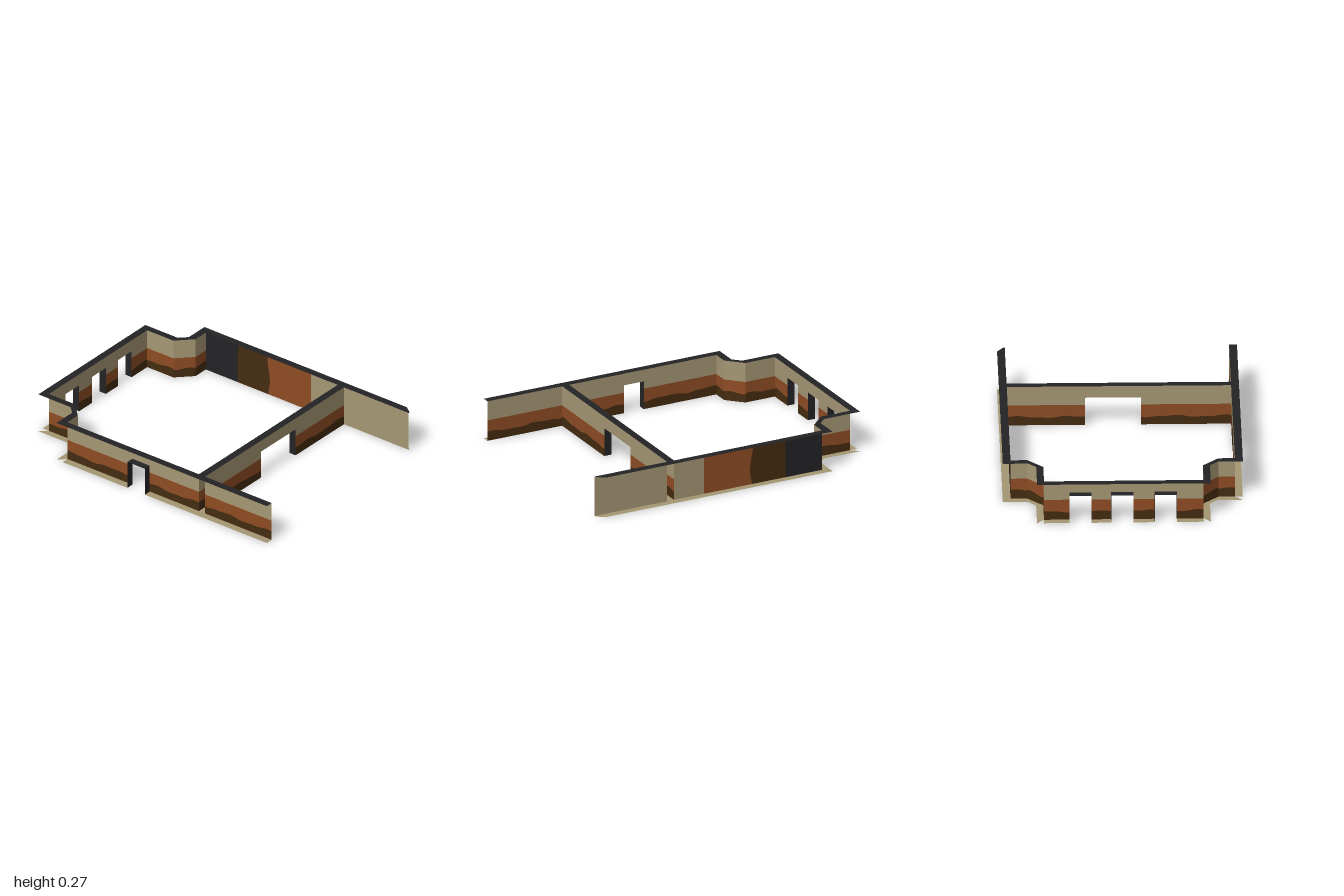
import * as THREE from 'three';

const H = 0.27, DOOR_H = 0.19, T = 0.05;

export function createModel() {
  const group = new THREE.Group();
  const mat = (name, color) => {
    const m = new THREE.MeshStandardMaterial({ color, side: THREE.DoubleSide });
    m.name = name;
    return m;
  };
  const plaster = mat('beigePlaster', 0xa69874);
  const rust = mat('rustBand', 0x8f4c24);
  const brown = mat('brownBand', 0x452c10);
  const dark = mat('darkTrim', 0x242426);

  const add = (name, geometry, material) => {
    const mesh = new THREE.Mesh(geometry, material);
    mesh.name = name;
    group.add(mesh);
  };
  const shape = pts => new THREE.ShapeGeometry(new THREE.Shape(pts.map(p => new THREE.Vector2(p[0], p[1]))));

  // Flat horizontal strip from [x, z] points
  const slab = (name, pts, y, material) => add(name, shape(pts).rotateX(Math.PI / 2).translate(0, y, 0), material);

  // Upright face: outline in (distance along a->b, height)
  const upright = (name, a, b, pts, material) => {
    const d = new THREE.Vector3(b[0] - a[0], 0, b[1] - a[1]).normalize();
    const up = new THREE.Vector3(0, 1, 0);
    const m = new THREE.Matrix4().makeBasis(d, up, d.clone().cross(up)).setPosition(a[0], 0, a[1]);
    add(name, shape(pts).applyMatrix4(m), material);
  };
  const rect = (u0, u1, v0, v1) => [[u0, v0], [u1, v0], [u1, v1], [u0, v1]];
  const wave = u => 0.057 + 0.006 * Math.sin(u * 19 + 1) + 0.003 * Math.sin(u * 43);

  // Full-height wall piece with brown, rust and plaster bands
  const banded = (name, a, b, u0, u1) => {
    const n = Math.max(2, Math.ceil((u1 - u0) / 0.03)), edge = [];
    for (let i = 0; i <= n; i++) {
      const u = u0 + (u1 - u0) * i / n;
      edge.push([u, wave(u)]);
    }
    upright(name + 'Base', a, b, [[u0, 0], [u1, 0], ...edge.slice().reverse()], brown);
    upright(name + 'Middle', a, b, [...edge, [u1, 0.14], [u0, 0.14]], rust);
    upright(name + 'Upper', a, b, rect(u0, u1, 0.14, H), plaster);
  };

  // Banded wall with door openings [u0, u1]; reveals and floor strips go to its outer side
  const wall = (name, a, b, openings = [], depth = T) => {
    const len = Math.hypot(b[0] - a[0], b[1] - a[1]);
    const dx = (b[0] - a[0]) / len, dz = (b[1] - a[1]) / len;
    const at = (u, o) => [a[0] + dx * u + dz * o, a[1] + dz * u - dx * o];
    let start = 0;
    for (const [u0, u1] of [...openings, [len, len]]) {
      banded(name, a, b, start, u0);
      if (depth) slab(name + 'FloorStrip', [at(start, 0), at(u0, 0), at(u0, depth), at(start, depth)], 0, plaster);
      if (u1 > u0) {
        upright(name + 'Header', a, b, rect(u0, u1, DOOR_H, H), plaster);
        if (depth) {
          for (const u of [u0, u1]) upright(name + 'Jamb', at(u, 0), at(u, depth), rect(0, depth, 0, DOOR_H), dark);
          slab(name + 'Lintel', [at(u0, 0), at(u1, 0), at(u1, depth), at(u0, depth)], DOOR_H, dark);
        }
      }
      start = u1;
    }
  };

  // Left wall, split where the cross wall meets it
  wall('leftFrontWall', [-0.71, 1], [-0.71, 0.465]);
  wall('leftWall', [-0.71, 0.415], [-0.71, -0.64], [[0.395, 0.535]]);

  // Back wall with three openings
  wall('backWall', [-0.505, -0.95], [0.505, -0.95], [[0.17, 0.31], [0.445, 0.585], [0.71, 0.85]]);

  // Stepped corners of the back bay
  for (const s of [-1, 1]) {
    const inner = [[0.71, -0.64], [0.605, -0.64], [0.505, -0.74], [0.505, -0.95]].map(p => [s * p[0], p[1]]);
    const outer = [[0.76, -0.69], [0.6, -0.69], [0.55, -0.74], [0.55, -1]].map(p => [s * p[0], p[1]]);
    for (let i = 0; i < 3; i++) {
      wall('cornerWall', inner[i], inner[i + 1], [], 0);
      slab('cornerFloorStrip', [inner[i], inner[i + 1], outer[i + 1], outer[i]], 0, plaster);
    }
  }

  // Right wall: its colours run along its length
  const ra = [0.71, 0.42], rb = [0.71, -0.64];
  const wavy = [];
  for (let i = 0; i <= 10; i++) {
    const v = H * i / 10;
    wavy.push([0.555 + 0.01 * Math.sin(v * 21 + 2.6), v]);
  }
  upright('rightWallPlaster', ra, rb, rect(0, 0.215, 0, H), plaster);
  upright('rightWallRust', ra, rb, [[0.215, 0], ...wavy, [0.215, H]], rust);
  upright('rightWallBrown', ra, rb, [[0.8, 0], [0.8, H], ...wavy.slice().reverse()], brown);
  upright('rightWallDark', ra, rb, rect(0.8, 1.06, 0, H), dark);
  upright('rightFrontWall', [0.71, 0.99], [0.71, 0.47], rect(0, 0.52, 0, H), plaster);
  slab('rightFloorStrip', [[0.71, 0.99], [0.72, 0.99], [0.76, 0.935], [0.76, -0.69], [0.71, -0.64]], 0, plaster);
  slab('leftFloorStripJoint', [[-0.71, 0.465], [-0.76, 0.465], [-0.76, 0.415], [-0.71, 0.415]], 0, plaster);

  // Cross wall with a wide doorway, faced on both sides
  wall('crossWallFront', [-0.71, 0.465], [0.71, 0.47], [[0.57, 0.925]]);
  wall('crossWallBack', [-0.71, 0.415], [0.71, 0.42], [[0.57, 0.925]], 0);

  // Dark caps along the wall tops
  slab('outerWallCap', [
    [-0.76, 1], [-0.76, -0.69], [-0.6, -0.69], [-0.55, -0.74], [-0.55, -1],
    [0.55, -1], [0.55, -0.74], [0.6, -0.69], [0.76, -0.69], [0.76, 0.935], [0.72, 0.99], [0.71, 0.99],
    [0.71, -0.64], [0.605, -0.64], [0.505, -0.74], [0.505, -0.95],
    [-0.505, -0.95], [-0.505, -0.74], [-0.605, -0.64], [-0.71, -0.64], [-0.71, 1],
  ], H, dark);
  slab('crossWallCap', [[-0.71, 0.465], [-0.71, 0.415], [0.71, 0.42], [0.71, 0.47]], H, dark);

  return group;
}
